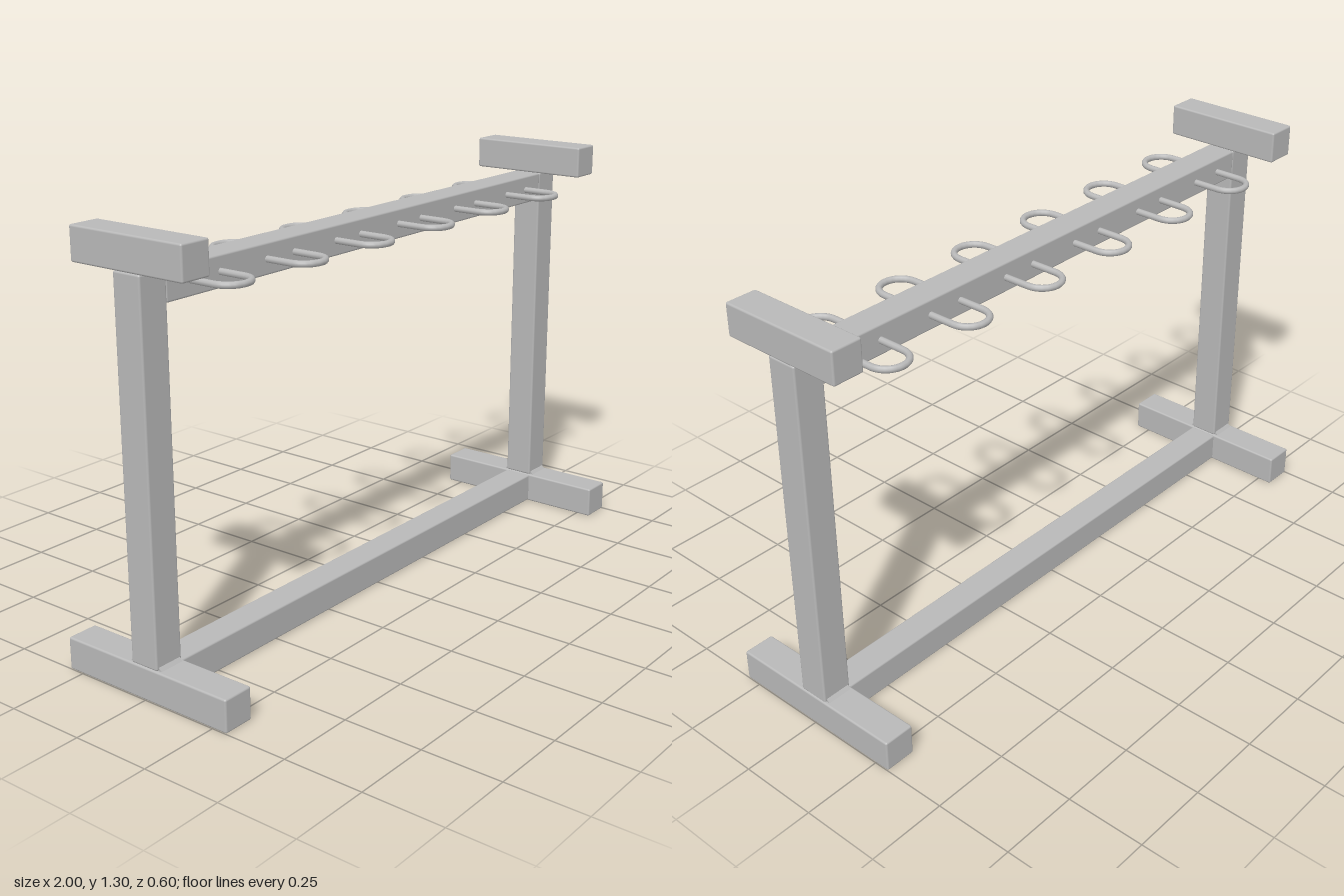
import * as THREE from 'three';
import { RoundedBoxGeometry } from 'three/addons/geometries/RoundedBoxGeometry.js';

const steel = new THREE.MeshStandardMaterial({ color: 0xb8b8b8 });
steel.name = 'greySteel';

function add(parent, name, geometry, x, y, z) {
  const mesh = new THREE.Mesh(geometry, steel);
  mesh.name = name;
  mesh.position.set(x, y, z);
  parent.add(mesh);
  return mesh;
}

// Square beam with softly eased edges
const beam = (w, h, d) => new RoundedBoxGeometry(w, h, d, 2, 0.006);

// Closed stadium-shaped ring lying flat, long axis along z
function ringGeometry(radius, halfLength, tube) {
  const straight = halfLength - radius;
  const path = new THREE.CurvePath();
  const arc = (z, start) => {
    const points = [];
    for (let i = 0; i <= 16; i++) {
      const a = start + (Math.PI * i) / 16;
      points.push(new THREE.Vector3(radius * Math.cos(a), 0, z + radius * Math.sin(a)));
    }
    return points;
  };
  const points = [...arc(straight, 0), ...arc(-straight, Math.PI)];
  points.forEach((p, i) => path.add(new THREE.LineCurve3(p, points[(i + 1) % points.length])));
  return new THREE.TubeGeometry(path, 120, tube, 10, true);
}

// Small triangular weld running along x
function weldGeometry(size, length) {
  const shape = new THREE.Shape([
    new THREE.Vector2(0, 0), new THREE.Vector2(size, 0), new THREE.Vector2(0, size),
  ]);
  const geometry = new THREE.ExtrudeGeometry(shape, { depth: length, bevelEnabled: false });
  geometry.translate(0, 0, -length / 2);
  return geometry;
}

export function createModel() {
  const model = new THREE.Group();
  model.name = 'rack';

  // End frames: foot, post and top crosspiece
  for (const side of [-1, 1]) {
    const frame = new THREE.Group();
    frame.name = side > 0 ? 'leftEndFrame' : 'rightEndFrame';
    frame.position.x = side * 0.95;
    model.add(frame);
    add(frame, 'foot', beam(0.1, 0.1, 0.6), 0, 0.05, 0);
    add(frame, 'post', beam(0.096, 1.1, 0.096), 0, 0.65, 0);
    add(frame, 'topCrosspiece', beam(0.1, 0.1, 0.4), 0, 1.25, 0);

    // Welds where the post meets the foot, front and back
    for (const face of [-1, 1]) {
      const weld = add(frame, 'weld', weldGeometry(0.012, 0.08), 0, 0.099, face * 0.047);
      weld.rotation.y = -face * Math.PI / 2;
    }
  }

  // Long beams joining the frames
  add(model, 'bottomRail', beam(1.81, 0.096, 0.096), 0, 0.05, 0);
  add(model, 'topRail', beam(1.81, 0.092, 0.096), 0, 1.155, 0);

  // Oval rings passing through the top rail
  const ring = ringGeometry(0.058, 0.19, 0.01);
  for (let i = 0; i < 6; i++) {
    add(model, 'holderRing', ring, -0.758 + i * 0.3032, 1.155, 0);
  }
  return model;
}
